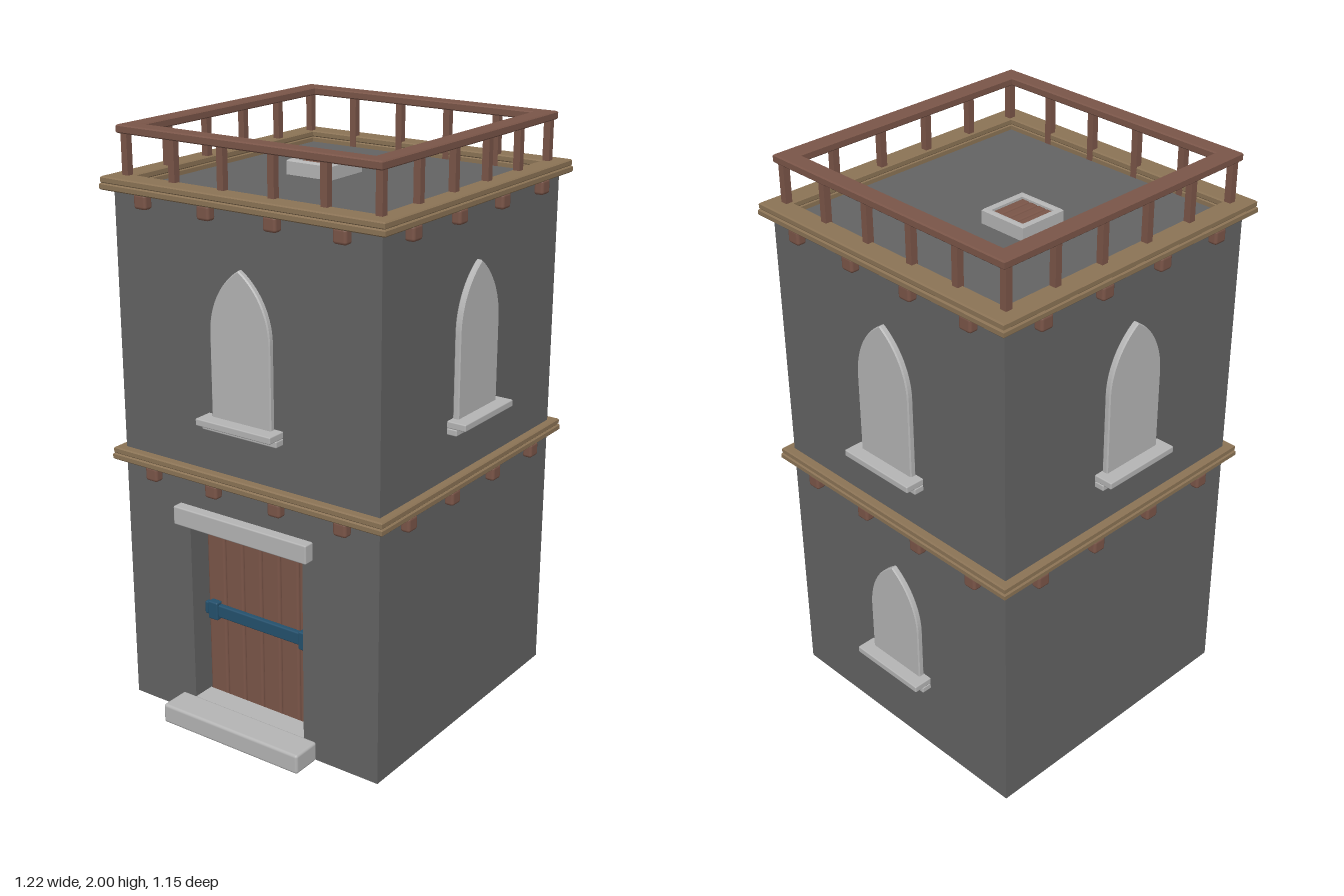
import * as THREE from 'three';
import { RoundedBoxGeometry } from 'three/addons/geometries/RoundedBoxGeometry.js';

const mat = (color) => new THREE.MeshStandardMaterial({ color, side: THREE.DoubleSide });
const WALL = mat(0x636363), STONE = mat(0xb4b4b4), TAN = mat(0x8b7355);
const WOOD = mat(0x7a5548), BAR = mat(0x6a5046), GLASS = mat(0xdf5a0e), IRON = mat(0x24506c);

const HX = 0.52, HZ = 0.51, TOP = 1.8; // half sizes and height of the tower body

function add(parent, name, geometry, material, x = 0, y = 0, z = 0) {
  const mesh = new THREE.Mesh(geometry, material);
  mesh.name = name;
  mesh.position.set(x, y, z);
  parent.add(mesh);
  return mesh;
}

// Box given by its minimum and maximum corners, optionally rounded
function block(parent, name, material, [x0, y0, z0], [x1, y1, z1], radius = 0) {
  const s = [x1 - x0, y1 - y0, z1 - z0];
  const geo = radius ? new RoundedBoxGeometry(...s, 2, radius) : new THREE.BoxGeometry(...s);
  return add(parent, name, geo, material, (x0 + x1) / 2, (y0 + y1) / 2, (z0 + z1) / 2);
}

function rect(hx, hy, cx = 0, cy = 0) {
  return new THREE.Shape([[-1, -1], [1, -1], [1, 1], [-1, 1]]
    .map(([a, b]) => new THREE.Vector2(cx + a * hx, cy + b * hy)));
}

// Pointed arch: straight sides up to the spring line, then two arcs to the apex
function arch(a, y0, spring, apex) {
  const rise = apex - spring, R = (a * a + rise * rise) / (2 * a), t = Math.acos((R - a) / R);
  const s = new THREE.Shape();
  s.moveTo(-a, y0);
  s.lineTo(a, y0);
  s.lineTo(a, spring);
  s.absarc(a - R, spring, R, 0, t, false);
  s.absarc(R - a, spring, R, Math.PI - t, Math.PI, false);
  s.lineTo(-a, y0);
  return s;
}

// Extruded outline with a hole; bevel stays inside the outline
function ring(outer, inner, depth, bevel = 0) {
  outer.holes.push(inner);
  return new THREE.ExtrudeGeometry(outer, {
    depth: depth - 2 * bevel, bevelEnabled: bevel > 0, bevelSize: bevel,
    bevelThickness: bevel, bevelOffset: -bevel, bevelSegments: 1, curveSegments: 10,
  }).translate(0, 0, bevel);
}

// Flat square ring lying on height y
function flatRing(parent, name, material, outer, inner, y, height, bevel) {
  const geo = ring(rect(...outer), rect(...inner), height, bevel).rotateX(-Math.PI / 2);
  return add(parent, name, geo, material, 0, y, 0);
}

const opening = (w) => arch(0.098, w.y0, w.apex - 0.215, w.apex - 0.02);

// Arched window; local z = 0 is the wall face, +z points outward
function makeWindow(w) {
  const g = new THREE.Group();
  g.name = 'window';
  const spring = w.apex - 0.215;
  add(g, 'windowFrame', ring(arch(0.117, w.y0, spring, w.apex), opening(w), 0.022, 0.004), STONE);
  add(g, 'windowReveal', ring(arch(0.105, w.y0 - 0.007, spring, w.apex - 0.013), opening(w), 0.055),
    WALL, 0, 0, -0.056);
  add(g, 'windowPane', new THREE.ShapeGeometry(opening(w), 10), GLASS, 0, 0, -0.05);
  block(g, 'mullion', BAR, [-0.01, w.y0, -0.05], [0.01, w.apex - 0.025, -0.03]);
  for (const y of w.bars) block(g, 'crossBar', BAR, [-0.097, y - 0.009, -0.05], [0.097, y + 0.009, -0.032]);
  for (const s of [-1, 1]) {
    const bar = add(g, 'diagonalBar', new THREE.BoxGeometry(0.016, 0.1, 0.016), BAR,
      s * 0.037, spring + 0.063, -0.041);
    bar.rotation.z = -s * Math.PI / 4;
  }
  block(g, 'upperSill', STONE, [-0.148, w.y0 - 0.02, -0.05], [0.148, w.y0 + 0.004, 0.067], 0.004);
  block(g, 'lowerSill', STONE, [-0.148, w.y0 - 0.042, -0.01], [0.148, w.y0 - 0.02, 0.035], 0.004);
  return g;
}

// Plank door set back into the wall, with lintel and step
function makeDoor(c) {
  const g = new THREE.Group();
  g.name = 'door';
  g.position.x = c;
  const h = 0.23, n = 6, pw = 2 * h / n;
  for (let i = 0; i < n; i++) {
    const x = -h + i * pw;
    block(g, 'doorPlank', WOOD, [x + 0.001, 0.05, -0.11], [x + pw - 0.001, 0.73, -0.08], 0.009);
  }
  block(g, 'doorStrap', IRON, [-h, 0.36, -0.08], [h, 0.405, -0.06], 0.005);
  for (const s of [-1, 1])
    block(g, 'strapBracket', IRON, [s * 0.19 - 0.02, 0.35, -0.08], [s * 0.19 + 0.02, 0.415, -0.052], 0.005);
  for (const s of [-1, 1])
    add(g, 'doorJamb', new THREE.PlaneGeometry(0.11, 0.73), WALL, s * h, 0.365, -0.055).rotation.y = Math.PI / 2;
  add(g, 'doorHead', new THREE.PlaneGeometry(2 * h, 0.11), WALL, 0, 0.73, -0.055).rotation.x = Math.PI / 2;
  block(g, 'lintel', STONE, [-0.27, 0.715, -0.02], [0.27, 0.78, 0.037], 0.005);
  block(g, 'step', STONE, [-0.283, 0, 0], [0.283, 0.07, 0.11], 0.01);
  block(g, 'threshold', STONE, [-h, 0, -0.08], [h, 0.065, 0.005]);
  return g;
}

export function createModel() {
  const model = new THREE.Group();
  model.name = 'tower';
  const tower = new THREE.Group();
  tower.name = 'towerBody';
  tower.position.x = 0.02;
  model.add(tower);

  const upper = { y0: 1.12, apex: 1.615, bars: [1.2, 1.307, 1.425] };
  const lower = { y0: 0.3, apex: 0.705, bars: [0.413, 0.515] };
  const sides = [
    { name: 'front', half: HX, dist: HZ, windows: [upper], shift: 0 },
    { name: 'right', half: HZ, dist: HX, windows: [upper, lower], shift: 0 },
    { name: 'back', half: HX, dist: HZ, windows: [upper], shift: 0.02 },
    { name: 'left', half: HZ, dist: HX, windows: [upper], shift: 0, door: -0.012 },
  ];

  // Four walls with openings, windows and beam ends
  sides.forEach((side, k) => {
    const g = new THREE.Group();
    g.name = side.name + 'Side';
    g.rotation.y = k * Math.PI / 2;
    tower.add(g);
    const face = new THREE.Group();
    face.name = side.name + 'Face';
    face.position.z = side.dist;
    g.add(face);

    const wall = rect(side.half, TOP / 2, 0, TOP / 2);
    for (const w of side.windows) {
      const hole = new THREE.Path(opening(w).getPoints(10).map((p) => p.setX(p.x + side.shift)));
      wall.holes.push(hole);
      const win = makeWindow(w);
      win.position.x = side.shift;
      face.add(win);
    }
    if (side.door !== undefined) {
      wall.holes.push(rect(0.23, 0.364, side.door, 0.366));
      face.add(makeDoor(side.door));
    }
    add(face, 'wall', new THREE.ShapeGeometry(wall), WALL);

    for (const y of [0.84, 1.752])
      for (const x of [-0.38, -0.127, 0.127, 0.38])
        block(face, 'beamEnd', WOOD, [x - 0.025, y, -0.005], [x + 0.025, y + 0.05, 0.031], 0.01);
  });

  // Roof deck
  add(tower, 'roof', new THREE.PlaneGeometry(2 * HX, 2 * HZ).rotateX(-Math.PI / 2), WALL, 0, TOP + 0.001, 0);

  // Timber ledges, each of two stacked courses
  for (const [y, inset] of [[0.885, 0.002], [1.797, 0.045]])
    for (const i of [0, 1])
      flatRing(tower, 'ledge', TAN, [0.555 - i * 0.003, 0.542 - i * 0.003],
        [HX - inset, HZ - inset], y + i * 0.021, 0.022, 0.004);

  // Balustrade
  flatRing(tower, 'handrail', WOOD, [0.511, 0.501], [0.452, 0.438], 1.973, 0.027, 0.004);
  const px = 0.486, pz = 0.482;
  for (let i = 0; i < 6; i++) {
    const t = -1 + 2 * i / 5;
    for (const s of [-1, 1]) {
      const spots = [[t * px, s * pz]];
      if (i > 0 && i < 5) spots.push([s * px, t * pz]);
      for (const [x, z] of spots)
        block(tower, 'railPost', WOOD, [x - 0.012, 1.8, z - 0.012], [x + 0.012, 1.98, z + 0.012]);
    }
  }

  // Roof hatch
  const hatch = new THREE.Group();
  hatch.name = 'hatch';
  hatch.position.set(0.028, 0, -0.09);
  tower.add(hatch);
  flatRing(hatch, 'hatchFrame', STONE, [0.088, 0.089], [0.068, 0.069], TOP, 0.056, 0.006);
  for (let i = 0; i < 4; i++) {
    const z = -0.069 + i * 0.0345;
    block(hatch, 'hatchPlank', WOOD, [-0.069, 1.8, z], [0.069, 1.846, z + 0.0335], 0.007);
  }
  return model;
}
